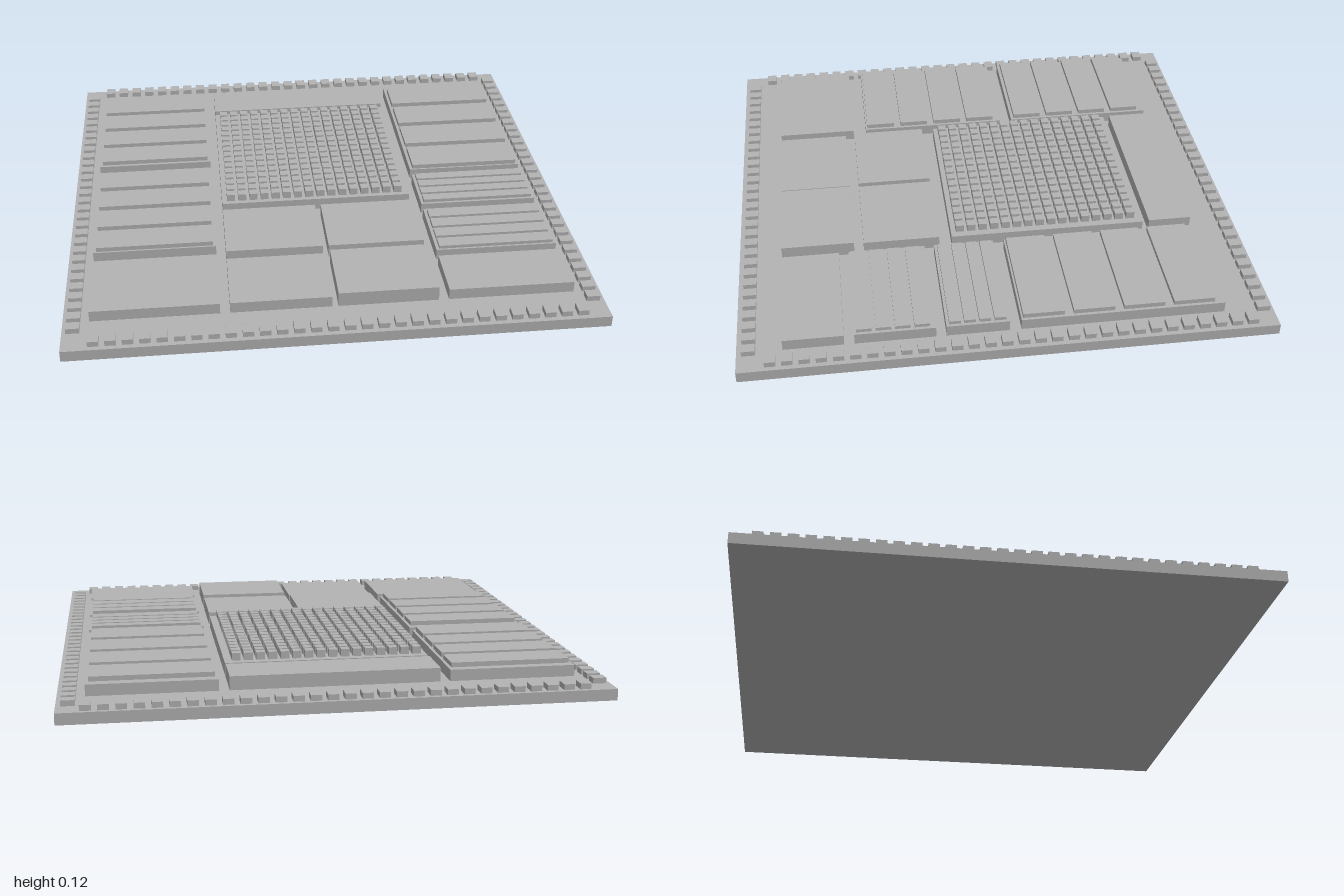
import * as THREE from 'three';
import { mergeGeometries } from 'three/addons/utils/BufferGeometryUtils.js';

const BASE_TOP = 0.043;

// Box from its extents
function slab(x0, x1, y0, y1, z0, z1) {
  return new THREE.BoxGeometry(x1 - x0, y1 - y0, z1 - z0)
    .translate((x0 + x1) / 2, (y0 + y1) / 2, (z0 + z1) / 2);
}

export function createModel() {
  const model = new THREE.Group();
  const grey = new THREE.MeshStandardMaterial({ color: 0xb3b3b3 });
  grey.name = 'grey';

  const add = (name, boxes) => {
    const mesh = new THREE.Mesh(boxes.length > 1 ? mergeGeometries(boxes) : boxes[0], grey);
    mesh.name = name;
    model.add(mesh);
  };

  // Substrate
  add('substrate', [slab(-1, 1, 0, BASE_TOP, -1, 1)]);

  // Contact pads along the four edges
  const padRows = { backPads: [], frontPads: [], leftPads: [], rightPads: [] };
  for (let i = 0; i < 30; i++) {
    const x = -0.884 + i * 0.0614, z = -0.902 + i * 0.0614;
    const pad = (cx, cz, w, d) =>
      slab(cx - w / 2, cx + w / 2, BASE_TOP, 0.064, cz - d / 2, cz + d / 2);
    padRows.backPads.push(pad(x, -0.96, 0.04, 0.05));
    padRows.frontPads.push(pad(x, 0.956, 0.04, 0.05));
    padRows.leftPads.push(pad(0.957, z, 0.05, 0.04));
    padRows.rightPads.push(pad(-0.96, z, 0.05, 0.04));
  }
  for (const [name, boxes] of Object.entries(padRows)) add(name, boxes);

  // Plain blocks: name, x0, x1, z0, z1, top
  const blocks = [
    ['backBlock', -0.39, 0.387, -0.813, -0.643, 0.095],
    ['coreBase', -0.39, 0.387, -0.617, 0.16, 0.091],
    ['innerRightBlock', -0.39, -0.013, 0.21, 0.51, 0.095],
    ['innerLeftBlock', 0.01, 0.387, 0.21, 0.51, 0.095],
    ['frontInnerRightBlock', -0.39, -0.013, 0.548, 0.833, 0.086],
    ['frontInnerLeftBlock', 0.01, 0.387, 0.548, 0.833, 0.1],
    ['frontRightBlock', -0.903, -0.427, 0.513, 0.833, 0.086],
    ['frontLeftBlock', 0.425, 0.9, 0.61, 0.833, 0.086],
  ];
  for (const [name, x0, x1, z0, z1, top] of blocks) add(name, [slab(x0, x1, BASE_TOP, top, z0, z1)]);

  // Blocks carrying four bars: name, x0, x1, z0, z1, top, first bar z, pitch, depth, bar top
  const banks = [
    ['rightBackBank', -0.903, -0.427, -0.813, -0.2, 0.086, -0.78, 0.149, 0.12, 0.104],
    ['rightMiddleBank', -0.903, -0.427, -0.15, 0.457, 0.086, -0.117, 0.149, 0.12, 0.104],
    ['leftBackBank', 0.425, 0.9, -0.813, -0.043, 0.086, -0.775, 0.19, 0.155, 0.104],
    ['leftMiddleBank', 0.425, 0.9, 0, 0.235, 0.086, 0.013, 0.056, 0.043, 0.099],
    ['leftFrontBank', 0.425, 0.9, 0.273, 0.572, 0.086, 0.294, 0.071, 0.057, 0.099],
  ];
  for (const [name, x0, x1, z0, z1, top, first, pitch, depth, barTop] of banks) {
    add(name, [slab(x0, x1, BASE_TOP, top, z0, z1)]);
    const bars = [];
    for (let i = 0; i < 4; i++) {
      const z = first + i * pitch;
      bars.push(slab(x0 + 0.012, x1 - 0.012, top, barTop, z, z + depth));
    }
    add(name + 'Bars', bars);
  }

  // 16 x 16 grid of cells on the core
  const cells = [];
  for (let i = 0; i < 16; i++) {
    for (let j = 0; j < 16; j++) {
      const x = -0.353 + i * 0.0463, z = -0.571 + j * 0.0463, h = 0.0165;
      cells.push(slab(x - h, x + h, 0.091, 0.12, z - h, z + h));
    }
  }
  add('coreCells', cells);

  return model;
}
